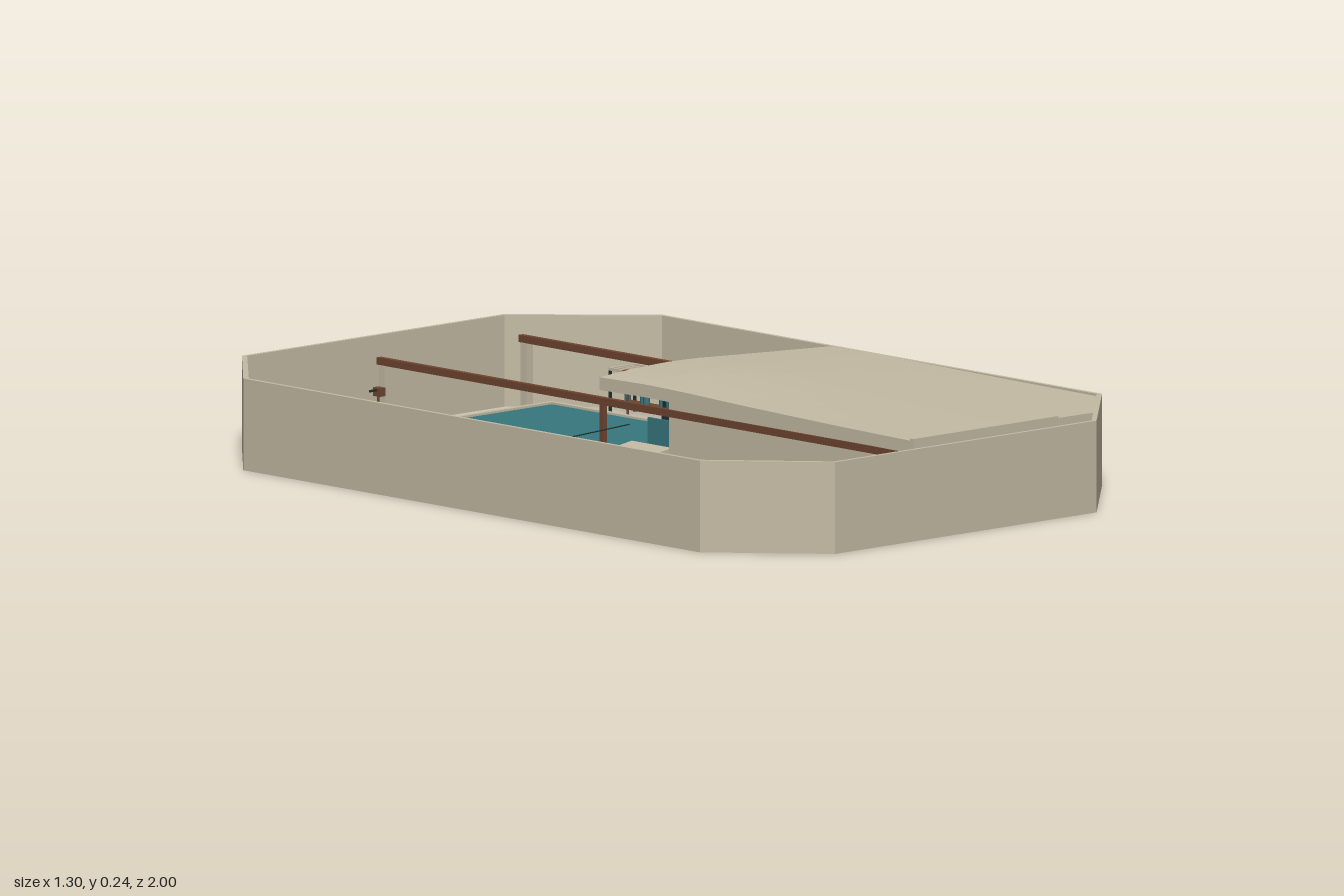
import * as THREE from 'three';

const mat = (name, color, extra = {}) => {
  const m = new THREE.MeshStandardMaterial({ color, ...extra });
  m.name = name;
  return m;
};

export function createModel() {
  const root = new THREE.Group();
  root.name = 'walledCourtyard';
  const stone = mat('sandstone', 0xc3baa3);
  const roofStone = mat('roofSandstone', 0xc3baa3, { flatShading: true });
  const wood = mat('brownWood', 0x6e4530);
  const water = mat('tealWater', 0x37777f);
  const dark = mat('darkMetal', 0x1f302e);

  const add = (name, geo, material, parent = root) => {
    const m = new THREE.Mesh(geo, material);
    m.name = name;
    parent.add(m);
    return m;
  };
  // box given by its x, y and z ranges
  const box = (name, material, [x0, x1], [y0, y1], [z0, z1], parent = root) => {
    const m = add(name, new THREE.BoxGeometry(x1 - x0, y1 - y0, z1 - z0), material, parent);
    m.position.set((x0 + x1) / 2, (y0 + y1) / 2, (z0 + z1) / 2);
    return m;
  };
  const group = (name, x = 0, z = 0) => {
    const g = new THREE.Group();
    g.name = name;
    g.position.set(x, 0, z);
    root.add(g);
    return g;
  };

  // Eight-sided perimeter wall
  const outline = [[-0.44, 1], [0.39, 1], [0.652, 0.74], [0.652, -0.74],
    [0.39, -1], [-0.44, -1], [-0.652, -0.77], [-0.652, 0.77]].map(p => new THREE.Vector2(...p));
  const wallShape = new THREE.Shape(outline);
  wallShape.holes.push(new THREE.Path(outline.map(p =>
    new THREE.Vector2(p.x * 0.984, p.y * 0.99)).reverse()));
  const wallGeo = new THREE.ExtrudeGeometry(wallShape, { depth: 0.215, bevelEnabled: false });
  wallGeo.rotateX(-Math.PI / 2);
  add('perimeterWall', wallGeo, stone);

  // Interpolate a value along a short list of [position, value] pairs
  const lerpList = (list, t) => {
    for (let i = 1; i < list.length; i++) {
      if (t <= list[i][0] || i === list.length - 1) {
        const [a, va] = list[i - 1], [b, vb] = list[i];
        return va + (vb - va) * THREE.MathUtils.clamp((t - a) / (b - a), 0, 1);
      }
    }
  };
  // Roof: arched across x, sloping to the front, one corner cut by the wall
  const across = [[-0.095, 0.231], [0, 0.239], [0.1, 0.243], [0.2, 0.242], [0.36, 0.232], [0.64, 0.216]];
  const along = [[-0.16, 0.9], [0, 1], [0.1, 0.93], [0.35, 0.57], [0.65, 0.25], [0.895, 0.08]];
  const roofGeo = new THREE.BoxGeometry(1, 1, 1, 14, 1, 14);
  const rp = roofGeo.attributes.position;
  for (let i = 0; i < rp.count; i++) {
    const z = -0.16 + (rp.getZ(i) + 0.5) * 1.055;
    const right = z < 0.745 ? 0.638 : 0.638 - (z - 0.745) * 1.03;
    const x = -0.095 + (rp.getX(i) + 0.5) * (right + 0.095);
    const top = 0.209 + (lerpList(across, x) - 0.209) * lerpList(along, z);
    rp.setXYZ(i, x, rp.getY(i) > 0 ? top : top - 0.03, z);
  }
  roofGeo.computeVertexNormals();
  add('roof', roofGeo, roofStone);

  // House floor and walls
  const floorShape = new THREE.Shape([[-0.09, 0.16], [0.635, 0.16], [0.635, -0.74], [0.48, -0.89], [-0.09, -0.89]]
    .map(p => new THREE.Vector2(...p)).reverse());
  const floorGeo = new THREE.ExtrudeGeometry(floorShape, { depth: 0.012, bevelEnabled: false });
  floorGeo.rotateX(-Math.PI / 2);
  add('houseFloor', floorGeo, stone);
  box('houseSideWall', stone, [-0.092, -0.08], [0.012, 0.2], [0.07, 0.89]);
  box('houseFrontWall', stone, [-0.09, 0.36], [0.012, 0.2], [0.88, 0.892]);
  box('frontParapet', stone, [-0.095, 0.365], [0.185, 0.216], [0.886, 0.898]);
  box('floorTrim', wood, [-0.098, -0.09], [0, 0.012], [0.07, 0.89]);
  box('doorPanel', water, [-0.075, -0.068], [0.04, 0.15], [-0.02, 0.07]);
  box('counter', stone, [0.42, 0.62], [0.012, 0.1], [-0.08, 0.08]);
  for (const x of [0.4, 0.56]) box('backWindow', water, [x, x + 0.06], [0.07, 0.14], [0.1, 0.108]);
  for (const z of [0, 0.67]) box('floorBench', wood, [0.49, 0.52], [-0.0, 0.03], [z - 0.08, z + 0.08]);

  // Long roof rails with their end posts
  for (const x of [-0.09, 0.36]) {
    box('roofRail', wood, [x - 0.007, x + 0.007], [0.165, 0.182], [-0.91, 0.9]);
    box('railPost', stone, [x - 0.01, x + 0.01], [0, 0.165], [-0.9, -0.88]);
    box('porchPost', wood, [x - 0.006, x + 0.006], [0, 0.17], [-0.16, -0.148]);
  }

  // Pool: raised basin, rim and water
  box('poolBasin', stone, [-0.062, 0.335], [0, 0.035], [-0.778, -0.1]);
  box('poolWater', water, [-0.05, 0.322], [0.035, 0.041], [-0.766, -0.112]);
  for (const x of [-0.062, 0.322]) box('poolSideRim', stone, [x, x + 0.013], [0.035, 0.046], [-0.778, -0.1]);
  for (const z of [-0.778, -0.113]) box('poolEndRim', stone, [-0.062, 0.335], [0.035, 0.046], [z, z + 0.013]);
  box('poolHandrail', dark, [0.162, 0.167], [0.041, 0.11], [-0.225, -0.16]);

  // Sloping entry ramp with clipped outer corners
  const rampShape = new THREE.Shape([[-0.08, -0.068], [-0.08, 0.068], [-0.465, 0.068], [-0.48, 0.055],
    [-0.48, -0.055], [-0.465, -0.068]].map(p => new THREE.Vector2(...p)));
  const rampGeo = new THREE.ExtrudeGeometry(rampShape, { depth: 0.03, bevelEnabled: false });
  rampGeo.rotateX(-Math.PI / 2);
  const pp = rampGeo.attributes.position;
  for (let i = 0; i < pp.count; i++) pp.setY(i, pp.getY(i) + (pp.getX(i) + 0.48) * 0.15);
  rampGeo.computeVertexNormals();
  add('entryRamp', rampGeo, stone);
  const cable = new THREE.LineCurve3(new THREE.Vector3(-0.09, 0.13, -0.065), new THREE.Vector3(-0.54, 0.11, -0.065));
  add('rampCable', new THREE.TubeGeometry(cable, 1, 0.0015, 5), dark);

  // Wall desk
  box('deskTop', stone, [-0.645, -0.54], [0.118, 0.132], [-0.15, 0.15]);
  for (const z of [-0.15, 0.138]) box('deskEnd', stone, [-0.645, -0.54], [0, 0.118], [z, z + 0.012]);
  box('deskApron', stone, [-0.55, -0.542], [0.08, 0.118], [-0.138, 0.138]);
  box('deskHandle', wood, [-0.542, -0.536], [0.09, 0.1], [-0.11, -0.09]);
  box('deskPin', dark, [-0.597, -0.593], [0.11, 0.118], [-0.19, -0.15]);

  // Side cabinet and dark crate in the corners
  box('cabinetTop', stone, [-0.38, -0.315], [0.045, 0.09], [0.88, 0.975]);
  box('cabinetShelf', stone, [-0.38, -0.315], [0.012, 0.02], [0.88, 0.975]);
  for (const x of [-0.38, -0.32]) box('cabinetSide', stone, [x, x + 0.005], [0, 0.045], [0.88, 0.975]);
  box('darkCrate', dark, [-0.38, -0.315], [0, 0.045], [-0.965, -0.9]);

  // Small standing lamps
  for (const [x, z] of [[-0.13, -0.87], [-0.13, 0.862], [0.45, -0.645]]) {
    const lamp = group('standingLamp', x, z);
    const pole = add('lampPole', new THREE.CylinderGeometry(0.003, 0.003, 0.115, 6), wood, lamp);
    pole.position.y = 0.0575;
    box('lampArm', dark, [-0.028, 0.004], [0.112, 0.117], [-0.002, 0.002], lamp);
    box('lampHead', wood, [-0.006, 0.012], [0.1, 0.12], [-0.012, 0.012], lamp);
  }

  // Slatted rack with jars on its shelf
  const rack = group('slattedRack', 0.52, -0.645);
  for (const x of [-0.042, 0.036]) {
    box('rackRail', stone, [x, x + 0.006], [0.105, 0.112], [-0.095, 0.095], rack);
    for (const z of [-0.095, 0.089]) box('rackLeg', dark, [x, x + 0.006], [0, 0.105], [z, z + 0.006], rack);
  }
  for (const z of [-0.095, 0.089]) box('rackEnd', stone, [-0.036, 0.036], [0.105, 0.112], [z, z + 0.006], rack);
  for (let i = 0; i < 11; i++) {
    const z = -0.08 + i * 0.016;
    box('rackSlat', stone, [-0.026, 0.026], [0.106, 0.111], [z - 0.003, z + 0.003], rack);
  }
  box('rackShelf', wood, [-0.022, 0.022], [0.02, 0.03], [-0.085, 0.085], rack);
  for (let i = 0; i < 5; i++) {
    const jar = add('rackJar', new THREE.CylinderGeometry(0.008, 0.008, 0.03, 8), water, rack);
    jar.position.set(i % 2 ? 0.01 : -0.01, 0.045, -0.064 + i * 0.032);
  }
  return root;
}
